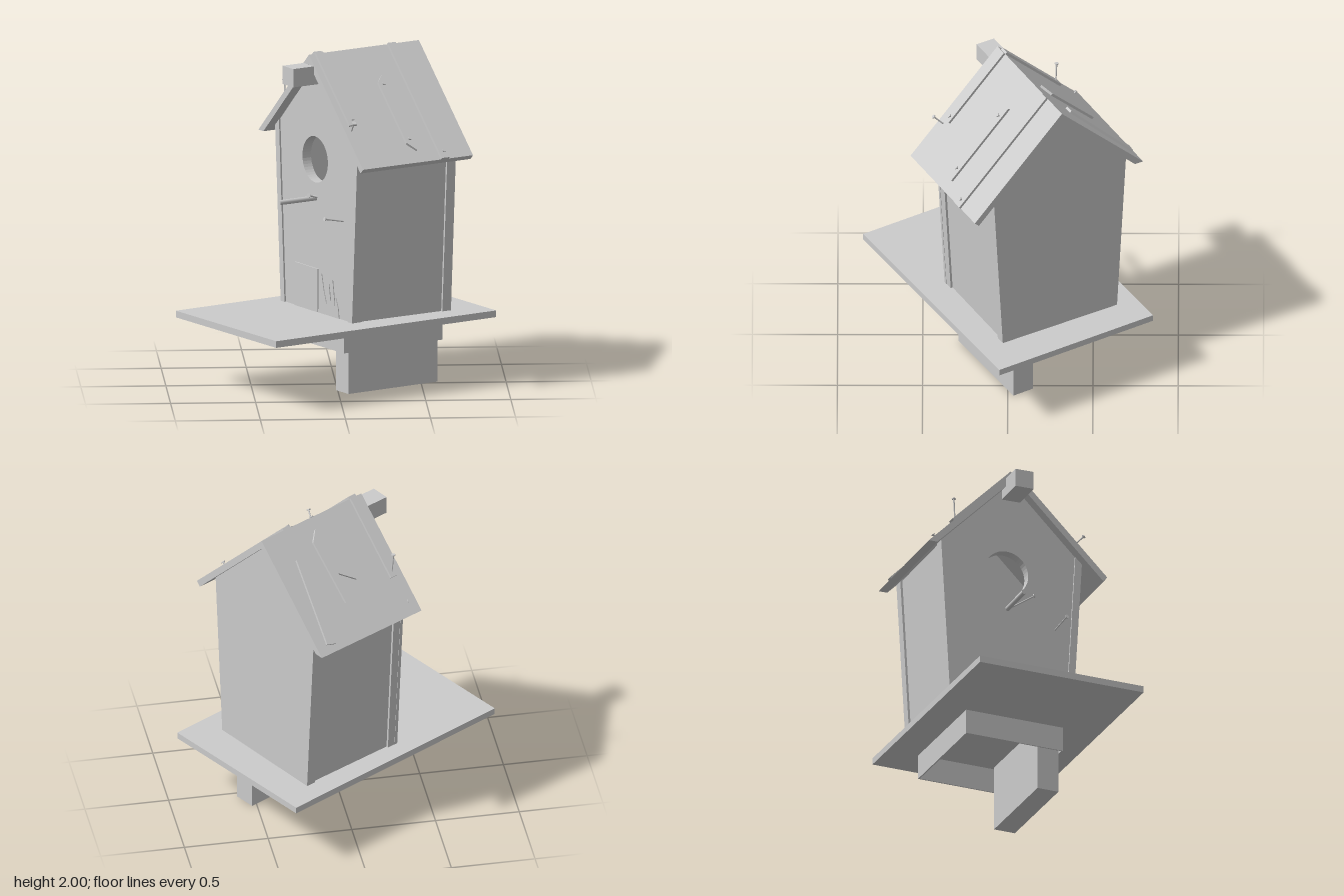
import * as THREE from 'three';

const mat = new THREE.MeshStandardMaterial({ color: 0xcccccc });
const MID = -0.027;   // x of the ridge line
const RIDGE = 1.99;   // height of the ridge

function add(parent, name, geometry) {
  const mesh = new THREE.Mesh(geometry, mat);
  mesh.name = name;
  parent.add(mesh);
  return mesh;
}

function shapeOf(points) {
  return new THREE.Shape(points.map(([x, y]) => new THREE.Vector2(x, y)));
}

// Upright profile in x/y, running from z0 to z1
function slab(parent, name, shape, z0, z1) {
  const g = new THREE.ExtrudeGeometry(shape, { depth: z1 - z0, bevelEnabled: false, curveSegments: 24 });
  g.translate(0, 0, z0);
  return add(parent, name, g);
}

// Box given by its limits
function block(parent, name, [x0, x1], [y0, y1], [z0, z1]) {
  const g = new THREE.BoxGeometry(x1 - x0, y1 - y0, z1 - z0);
  g.translate((x0 + x1) / 2, (y0 + y1) / 2, (z0 + z1) / 2);
  return add(parent, name, g);
}

// Flat board lying on a roof slope; points are plan positions [x, z]
function roofPlate(slope, name, points, thick = 0.015) {
  const g = new THREE.ExtrudeGeometry(
    shapeOf(points.map(([x, z]) => [(x - MID) * Math.SQRT2, z])),
    { depth: thick, bevelEnabled: false });
  g.rotateX(Math.PI / 2);
  g.translate(0, thick, 0);
  return add(slope, name, g);
}

// Nail with its head at the first point
function nail(parent, head, tip) {
  const a = new THREE.Vector3(...head), b = new THREE.Vector3(...tip);
  const length = a.distanceTo(b);
  const group = new THREE.Group();
  group.name = 'nail';
  add(group, 'nailShank', new THREE.CylinderGeometry(0.005, 0.004, length, 8)).position.y = -length / 2;
  add(group, 'nailHead', new THREE.CylinderGeometry(0.012, 0.012, 0.006, 10));
  group.position.copy(a);
  group.quaternion.setFromUnitVectors(new THREE.Vector3(0, 1, 0), a.sub(b).normalize());
  parent.add(group);
}

function pentagon() {
  return shapeOf([
    [MID - 0.385, 0.44], [MID + 0.385, 0.44], [MID + 0.445, 1.49], [MID, 1.936], [MID - 0.445, 1.49],
  ]);
}

function buildBase() {
  const base = new THREE.Group();
  base.name = 'base';
  block(base, 'baseBoard', [-0.525, 0.525], [0.4, 0.44], [-0.78, 0.78]);
  // Hollow frame under the board
  const x = [-0.33, 0.29], z = [-0.56, 0.14], y = [0.25, 0.4], t = 0.008;
  block(base, 'frameLeft', [x[1] - t, x[1]], y, z);
  block(base, 'frameRight', [x[0], x[0] + t], y, z);
  block(base, 'frameFront', [x[0] + t, x[1] - t], y, [z[1] - t, z[1]]);
  block(base, 'frameBack', [x[0] + t, x[1] - t], y, [z[0], z[0] + t]);
  block(base, 'post', [0.145, 0.279], [0, 0.4], [-0.53, 0.1]);
  return base;
}

function buildWalls(house) {
  const front = pentagon();
  const hole = new THREE.Path();
  hole.absarc(-0.055, 1.35, 0.138, 0, Math.PI * 2, true);
  front.holes.push(hole);
  slab(house, 'frontWall', front, 0.05, 0.11);
  slab(house, 'backWall', pentagon(), -0.572, -0.512);

  for (const s of [1, -1]) {
    const side = [[0.34, 0.44], [0.372, 0.44], [0.432, 1.495], [0.4, 1.53]];
    slab(house, 'sideWall', shapeOf(side.map(([x, y]) => [MID + s * x, y])), -0.515, 0.055);
    // Thin upright strips along the front corners
    const strip = [[0.345, 0.44], [0.387, 0.44], [0.447, 1.485], [0.405, 1.525]];
    slab(house, 'cornerStrip', shapeOf(strip.map(([x, y]) => [MID + s * x, y])), 0.1, 0.12);
  }

  // Perch, patch and splintered wood on the front
  const perch = add(house, 'perch', new THREE.CylinderGeometry(0.015, 0.015, 0.29, 16));
  perch.rotation.x = Math.PI / 2;
  perch.position.set(-0.048, 1.12, 0.22);
  block(house, 'patch', [-0.265, -0.018], [0.44, 0.7], [0.1, 0.118]);
  slab(house, 'splinter', shapeOf([
    [-0.018, 0.44], [0.21, 0.44], [0.2, 0.5], [0.175, 0.56], [0.165, 0.51], [0.14, 0.66], [0.12, 0.52],
    [0.1, 0.63], [0.075, 0.5], [0.045, 0.58], [0.02, 0.68], [0.005, 0.55],
  ]), 0.1, 0.115);
  nail(house, [0.27, 1.065, 0.252], [0.25, 1.03, 0.1]);
  nail(house, [0.07, 1.17, 0.235], [-0.045, 1.12, 0.1]);
}

function buildRoof(house) {
  const roof = new THREE.Group();
  roof.name = 'roof';
  house.add(roof);
  slab(roof, 'roofLeft', shapeOf([
    [MID, RIDGE], [MID, 1.936], [0.533, 1.376], [0.56, 1.403],
  ]), -0.596, 0.172);
  slab(roof, 'roofRight', shapeOf([
    [MID, RIDGE], [-0.574, 1.443], [-0.52, 1.443], [MID, 1.936],
  ]), -0.596, 0.172);
  block(roof, 'ridgeBeam', [-0.085, 0.031], [1.82, 1.93], [0.04, 0.318]);

  const [left, right] = [-1, 1].map((s) => {
    const slope = new THREE.Group();
    slope.name = s < 0 ? 'leftSlopeBoards' : 'rightSlopeBoards';
    slope.position.set(MID, RIDGE, 0);
    slope.rotation.z = s * Math.PI / 4;
    roof.add(slope);
    return slope;
  });
  const strip = (x0, x1, z0, z1) => [[x0, z0], [x1, z0], [x1, z1], [x0, z1]];
  roofPlate(left, 'batten', strip(MID, 0.345, 0.08, 0.133));
  roofPlate(left, 'batten', strip(MID, 0.56, -0.427, -0.372));
  roofPlate(left, 'looseBoard', [[0.155, -0.188], [0.12, -0.236], [0.505, -0.236], [0.465, -0.188]]);
  roofPlate(right, 'batten', strip(-0.397, MID, 0.08, 0.133));
  roofPlate(right, 'looseBoard', [[-0.546, -0.466], [-0.534, -0.528], [-0.163, -0.45], [-0.163, -0.399]]);
  roofPlate(right, 'brokenBoard', [
    [-0.341, -0.136], [-0.287, -0.232], [-0.41, -0.279], [-0.126, -0.29], [-0.081, -0.237],
  ]);

  // Nails driven into the roof boards
  for (const [x, z] of [[0.32, 0.1], [0.17, -0.213], [0.45, -0.213], [0.53, -0.4]]) {
    const y = RIDGE - (x - MID);
    nail(roof, [x + 0.022, y + 0.022, z], [x - 0.01, y - 0.01, z]);
  }
  nail(roof, [0.42, 1.655, 0.145], [0.36, 1.59, 0.125]);
  nail(roof, [-0.39, 1.77, 0.11], [-0.38, 1.62, 0.105]);
  nail(roof, [-0.525, 1.51, 0.12], [-0.505, 1.49, 0.12]);
}

export function createModel() {
  const model = new THREE.Group();
  model.name = 'birdhouse';
  const base = buildBase();
  base.rotation.y = -1.03;
  const house = new THREE.Group();
  house.name = 'house';
  house.rotation.y = -1.054;
  buildWalls(house);
  buildRoof(house);
  model.add(base, house);
  return model;
}
